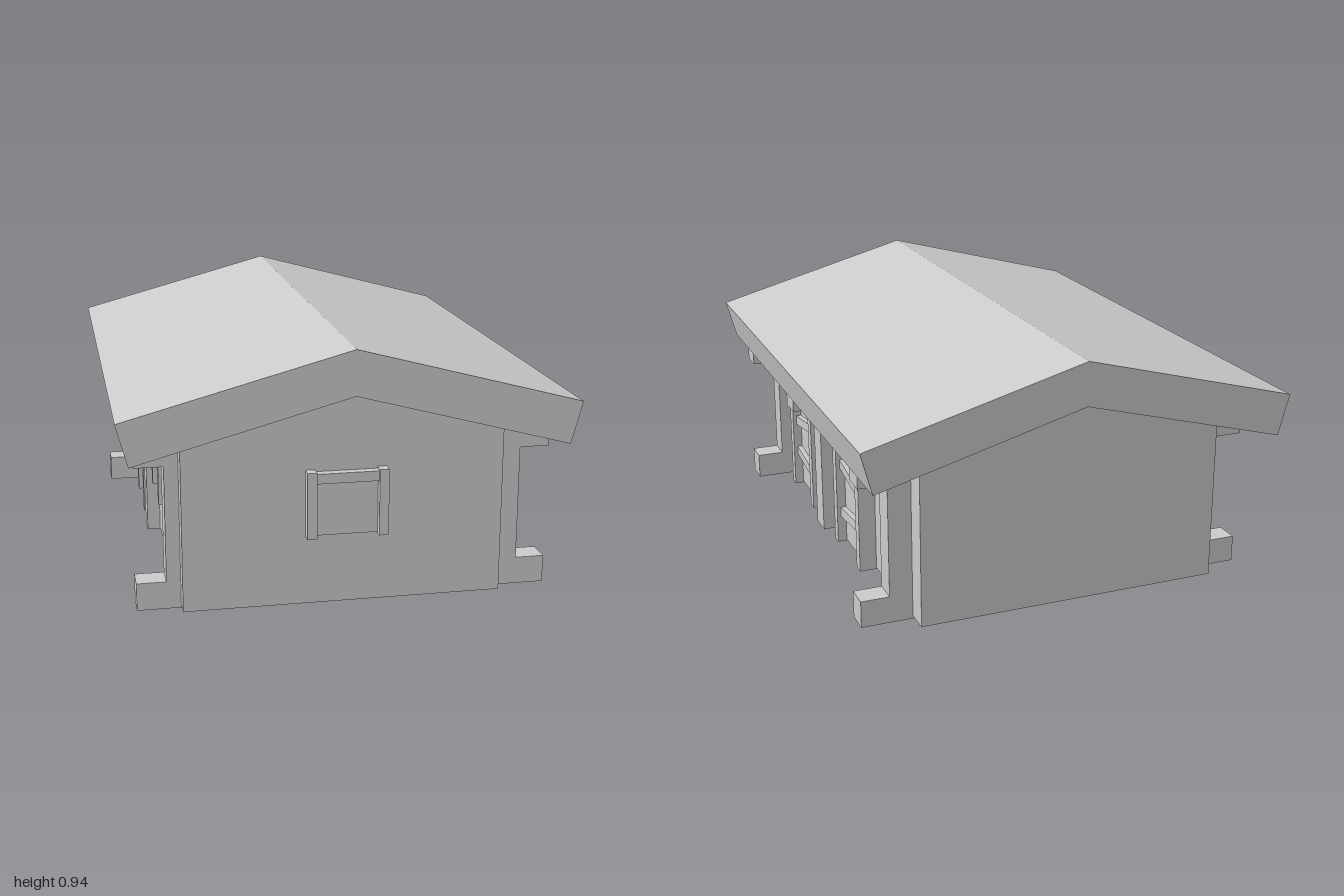
import * as THREE from 'three';

const mat = new THREE.MeshStandardMaterial({ color: 0xcccccc, flatShading: true });

// Box given by its minimum and maximum on each axis
function box(parent, name, x0, x1, y0, y1, z0, z1) {
  const m = new THREE.Mesh(new THREE.BoxGeometry(x1 - x0, y1 - y0, z1 - z0), mat);
  m.position.set((x0 + x1) / 2, (y0 + y1) / 2, (z0 + z1) / 2);
  m.name = name;
  parent.add(m);
  return m;
}

// Outline in x and y, extruded from z0 to z1
function prism(parent, name, points, z0, z1) {
  const shape = new THREE.Shape(points.map(([x, y]) => new THREE.Vector2(x, y)));
  const geo = new THREE.ExtrudeGeometry(shape, { depth: z1 - z0, bevelEnabled: false });
  geo.translate(0, 0, z0);
  const m = new THREE.Mesh(geo, mat);
  m.name = name;
  parent.add(m);
  return m;
}

// Plank door facing +z, base at the origin; flip mirrors the slant of the braces
function makeDoor(flip) {
  const g = new THREE.Group();
  g.name = 'door';
  box(g, 'doorPanel', -0.14, 0.14, 0.01, 0.42, -0.02, 0.03);
  for (const s of [-1, 1]) {
    box(g, 'doorJamb', s * 0.145 - 0.021, s * 0.145 + 0.021, 0.005, 0.42, -0.02, 0.065);
    box(g, 'jambCap', s * 0.15 - 0.025, s * 0.15 + 0.025, 0.41, 0.46, -0.02, 0.075);
  }
  box(g, 'doorLintel', -0.13, 0.13, 0.405, 0.455, -0.02, 0.065);
  const w = 0.125 * flip;
  const braces = [
    [[-w, 0.275], [w, 0.315], [w, 0.35], [-w, 0.315]],
    [[-w, 0.14], [w, 0.11], [w, 0.15], [-w, 0.175]],
  ];
  braces.forEach((b) => prism(g, 'doorBrace', b, 0, 0.05));
  return g;
}

// Shuttered window facing +z, centred on the origin
function makeWindow() {
  const g = new THREE.Group();
  g.name = 'window';
  box(g, 'windowPanel', -0.12, 0.12, -0.115, 0.1, -0.02, 0.015);
  for (const s of [-1, 1]) {
    box(g, 'windowJamb', s * 0.127 - 0.017, s * 0.127 + 0.017, -0.12, 0.12, -0.02, 0.04);
  }
  box(g, 'windowLintel', -0.12, 0.12, 0.077, 0.113, -0.02, 0.032);
  return g;
}

export function createModel() {
  const house = new THREE.Group();
  house.name = 'house';

  // Gabled body and overhanging roof
  prism(house, 'walls', [[-0.58, 0.01], [0.56, 0.01], [0.56, 0.65], [0, 0.8], [-0.58, 0.65]], -0.88, 0.88);
  prism(house, 'roof', [
    [-0.8, 0.73], [-0.76, 0.58], [0, 0.785], [0.76, 0.58], [0.8, 0.73], [0, 0.945],
  ], -1, 1);

  // Corner posts with through beams at the foot and under the eaves
  for (const [z0, z1] of [[0.72, 0.815], [-0.79, -0.7]]) {
    box(house, 'cornerPosts', -0.63, 0.645, 0.005, 0.61, z0, z1);
    box(house, 'footBeam', -0.735, 0.75, 0, 0.1, z0, z1);
    box(house, 'eaveBeam', -0.735, 0.75, 0.52, 0.6, z0, z1);
  }

  // Middle posts, one on each long side
  box(house, 'middlePostLeft', 0.5, 0.645, 0.005, 0.61, 0.055, 0.15);
  box(house, 'middleBeamLeft', 0.5, 0.75, 0.52, 0.6, 0.055, 0.15);
  box(house, 'middlePostRight', -0.63, -0.5, 0.005, 0.61, -0.09, 0.005);
  box(house, 'middleBeamRight', -0.735, -0.5, 0.52, 0.6, -0.09, 0.005);

  // Doors: two on the left side, one on the right
  for (const [side, z, flip] of [[1, 0.45, 1], [1, -0.205, -1], [-1, -0.4, 1]]) {
    const door = makeDoor(flip);
    door.position.set(side > 0 ? 0.56 : -0.58, 0, z);
    door.rotation.y = side * Math.PI / 2;
    if (side < 0) door.position.x += 0.02;
    house.add(door);
  }

  // Windows: one on the front gable, one on the right side
  const front = makeWindow();
  front.position.set(-0.005, 0.38, 0.88);
  const right = makeWindow();
  right.position.set(-0.58, 0.38, 0.31);
  right.rotation.y = -Math.PI / 2;
  house.add(front, right);

  return house;
}
